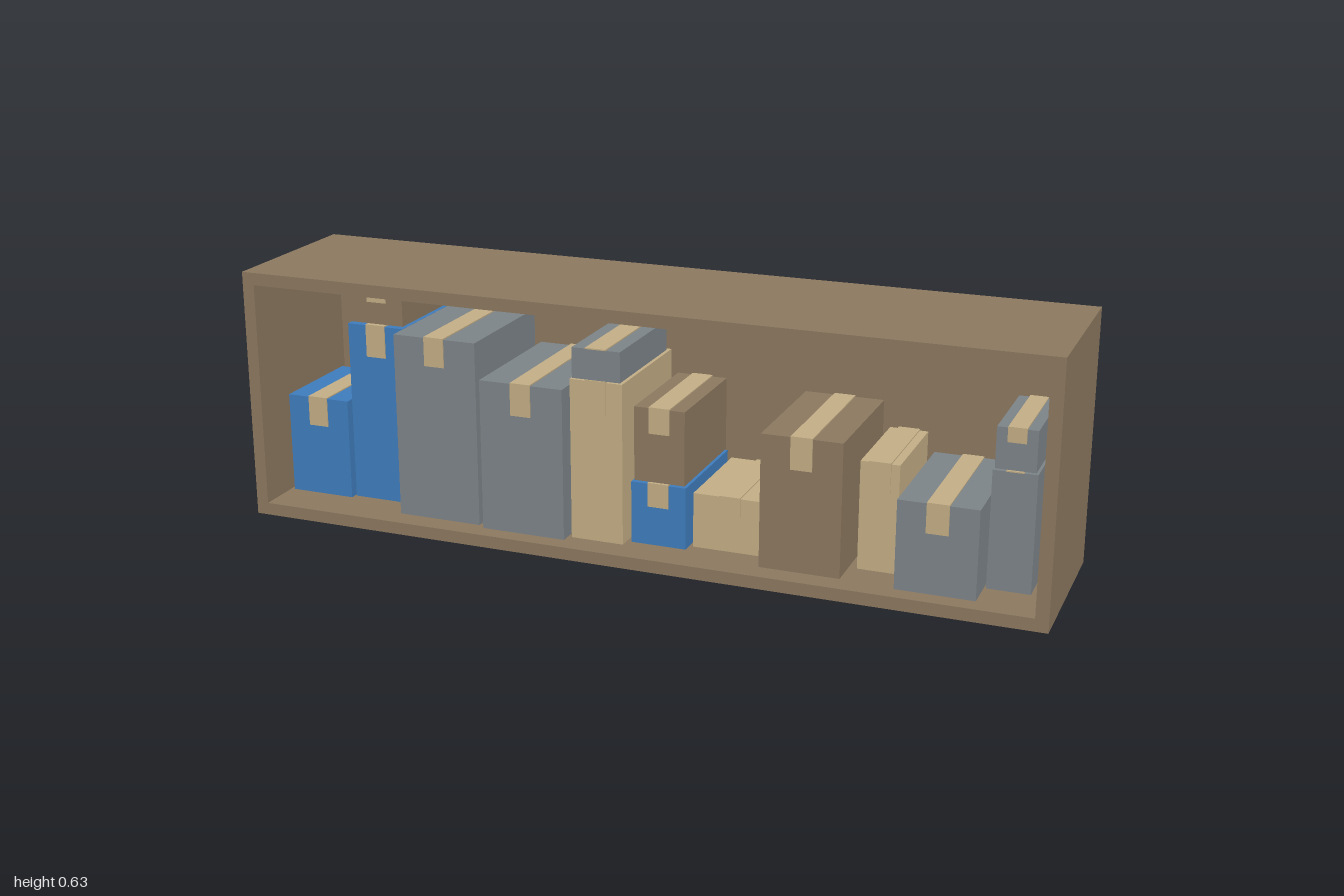
import * as THREE from 'three';

const material = (name, color) => {
  const m = new THREE.MeshStandardMaterial({ color });
  m.name = name;
  return m;
};

export function createModel() {
  const brown = material('cardboard brown', 0x8b7860);
  const blue = material('blue', 0x3f7dbd);
  const grey = material('grey', 0x7d8488);
  const tan = material('tape tan', 0xc3ae85);

  const model = new THREE.Group();
  model.name = 'storageShelf';

  // Adds a block given by its lower and upper corners
  const block = (parent, name, mat, [x0, y0, z0], [x1, y1, z1]) => {
    const mesh = new THREE.Mesh(new THREE.BoxGeometry(x1 - x0, y1 - y0, z1 - z0), mat);
    mesh.position.set((x0 + x1) / 2, (y0 + y1) / 2, (z0 + z1) / 2);
    mesh.name = name;
    parent.add(mesh);
  };

  // Open-fronted shelf case
  const H = 0.627, D = 0.218, T = 0.031;
  const shelf = new THREE.Group();
  shelf.name = 'shelfCase';
  model.add(shelf);
  block(shelf, 'bottomPanel', brown, [-1, 0, -D], [1, T, D]);
  block(shelf, 'topPanel', brown, [-1, H - T, -D], [1, H, D]);
  block(shelf, 'rightPanel', brown, [-1, T, -D], [-1 + T, H - T, D]);
  block(shelf, 'leftPanel', brown, [1 - T, T, -D], [1, H - T, D]);
  block(shelf, 'backPanel', brown, [-1 + T, T, -D], [1 - T, H - T, -D + T]);

  // Carton with a tape strip over the top that hangs down front and back
  const carton = (mat, x0, x1, y0, y1, zFront, zBack, hang, tapeWidth = 0.052) => {
    const group = new THREE.Group();
    group.name = 'carton';
    model.add(group);
    block(group, 'cartonBody', mat, [x0, y0, zBack], [x1, y1, zFront]);
    const c = (x0 + x1) / 2, w = tapeWidth / 2, t = 0.003;
    block(group, 'tapeTop', tan, [c - w, y1, zBack - t], [c + w, y1 + t, zFront + t]);
    if (hang > 0) {
      block(group, 'tapeFront', tan, [c - w, y1 - hang, zFront], [c + w, y1, zFront + t]);
      block(group, 'tapeBack', tan, [c - w, y1 - hang, zBack - t], [c + w, y1, zBack]);
    }
  };

  // Cartons along the shelf, from the model's right to its left
  [
    [blue, -0.96, -0.792, T, 0.286, 0.105, -0.16, 0.073],
    [blue, -0.787, -0.635, T, 0.486, 0.09, -0.17, 0.08],
    [brown, -0.78, -0.64, 0.489, 0.578, 0.08, -0.16, 0.034],
    [grey, -0.622, -0.405, T, 0.493, 0.16, -0.18, 0.07],
    [grey, -0.388, -0.173, T, 0.408, 0.174, -0.18, 0.078],
    [tan, -0.163, -0.03, T, 0.43, 0.15, -0.17, 0.08],
    [grey, -0.157, -0.035, 0.433, 0.508, 0.15, -0.15, 0],
    [blue, -0.018, 0.12, T, 0.185, 0.125, -0.17, 0.057],
    [brown, -0.012, 0.115, 0.188, 0.371, 0.12, -0.17, 0.062],
    [tan, 0.13, 0.313, T, 0.167, 0.1, -0.17, 0.06],
    [brown, 0.315, 0.51, T, 0.358, 0.162, -0.18, 0.077],
    [tan, 0.53, 0.623, T, 0.296, 0.088, -0.17, 0.07],
    [grey, 0.64, 0.828, T, 0.247, 0.173, -0.17, 0.07],
    [grey, 0.833, 0.935, T, 0.316, 0.093, -0.16, 0, 0.04],
    [grey, 0.837, 0.93, 0.319, 0.417, 0.09, -0.15, 0.033, 0.043],
  ].forEach((spec) => carton(...spec));

  return model;
}
